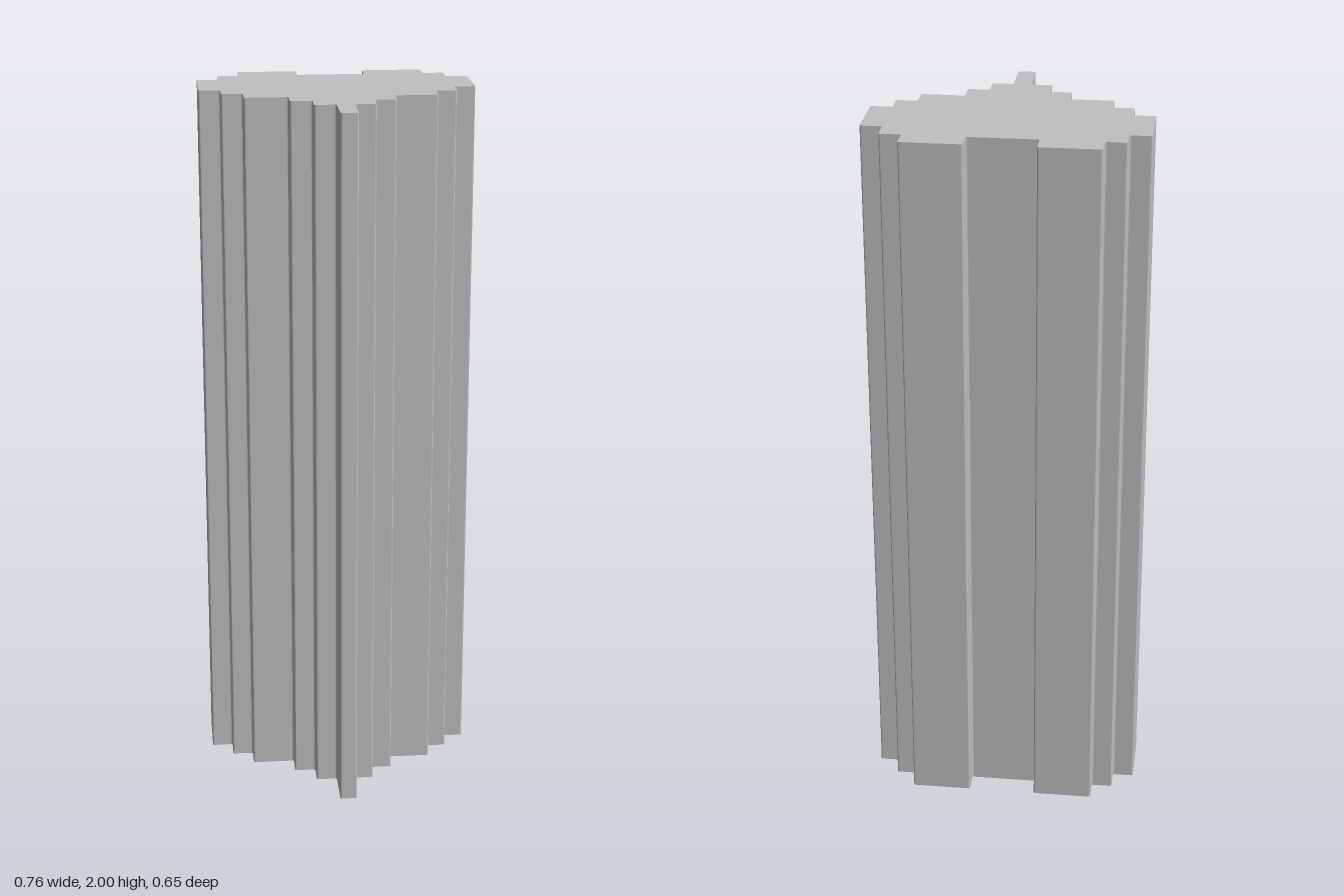
import * as THREE from 'three';

const HEIGHT = 2;
const CORNER = 0.005;

// Right half of the stepped heart outline as [x, z], from the front tip to the back notch
const HALF = [
  [0.024, 0.322], [0.024, 0.202], [0.083, 0.202], [0.083, 0.142],
  [0.143, 0.142], [0.143, 0.082], [0.263, 0.082], [0.263, 0.022],
  [0.322, 0.022], [0.322, -0.038], [0.382, -0.038], [0.382, -0.204],
  [0.322, -0.204], [0.322, -0.264], [0.263, -0.264], [0.263, -0.324],
  [0.095, -0.324], [0.095, -0.264],
];

// Closed shape through the points with every corner slightly rounded
function roundedShape(points, radius) {
  const shape = new THREE.Shape();
  const n = points.length;
  points.forEach((p, i) => {
    const toward = (q) => p.clone().add(q.clone().sub(p).setLength(radius));
    const start = toward(points[(i + n - 1) % n]);
    const end = toward(points[(i + 1) % n]);
    if (i === 0) shape.moveTo(start.x, start.y);
    else shape.lineTo(start.x, start.y);
    shape.quadraticCurveTo(p.x, p.y, end.x, end.y);
  });
  shape.closePath();
  return shape;
}

export function createModel() {
  const group = new THREE.Group();
  group.name = 'steppedHeartColumn';

  const grey = new THREE.MeshStandardMaterial({ color: 0xc0c0c0 });
  grey.name = 'light grey';

  // Mirror the half outline; shape y becomes -z once the column stands up
  const right = HALF.map(([x, z]) => new THREE.Vector2(x, -z));
  const left = HALF.map(([x, z]) => new THREE.Vector2(-x, -z)).reverse();
  const outline = roundedShape([...right, ...left], CORNER);

  const geometry = new THREE.ExtrudeGeometry(outline, {
    depth: HEIGHT, bevelEnabled: false, curveSegments: 4,
  });
  geometry.rotateX(-Math.PI / 2);

  const column = new THREE.Mesh(geometry, grey);
  column.name = 'heartColumn';
  group.add(column);
  return group;
}
